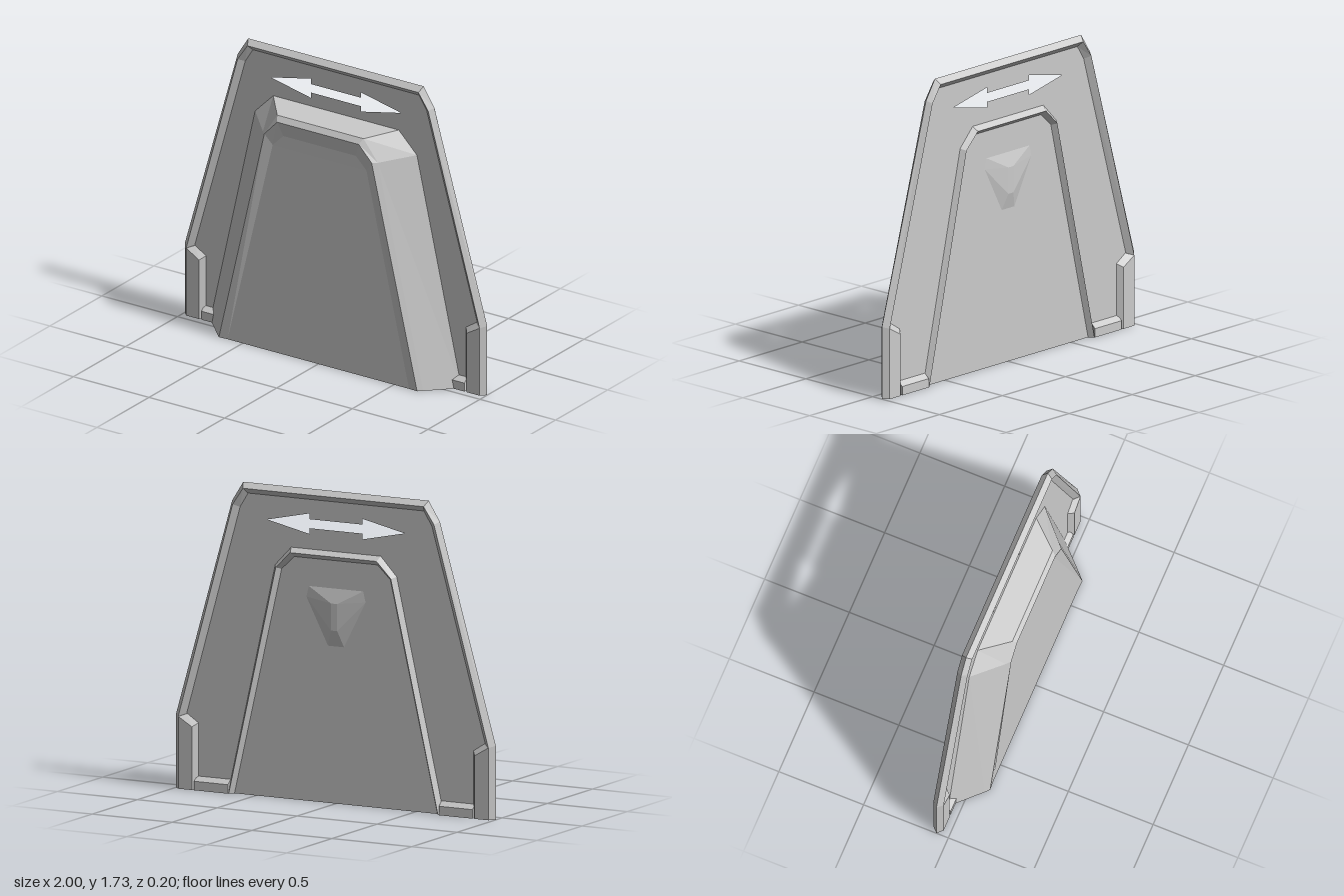
import * as THREE from 'three';
import { ConvexGeometry } from 'three/addons/geometries/ConvexGeometry.js';

const MID = -0.07, FRONT = -0.04, BACK = -0.1;
const material = new THREE.MeshStandardMaterial({ color: 0xcccccc, flatShading: true, side: THREE.DoubleSide });

// Mirrors half an outline (bottom right to top) into a full arch of 3D points.
function arch(half, z) {
  const right = half.map(([x, y, pz]) => new THREE.Vector3(x, y, pz ?? z));
  const left = right.map((p) => new THREE.Vector3(-p.x, p.y, p.z)).reverse();
  return [...right, ...left];
}

// Joins neighbouring arches with faces.
function loft(sections) {
  const points = [];
  for (let s = 0; s < sections.length - 1; s++) {
    const a = sections[s], b = sections[s + 1];
    for (let i = 0; i < a.length - 1; i++) {
      points.push(a[i], a[i + 1], b[i + 1], a[i], b[i + 1], b[i]);
    }
  }
  const geometry = new THREE.BufferGeometry().setFromPoints(points);
  geometry.computeVertexNormals();
  return geometry;
}

function convex(list) {
  return new ConvexGeometry(list.map((p) => new THREE.Vector3(...p)));
}

export function createModel() {
  const group = new THREE.Group();
  const add = (name, geometry) => {
    const mesh = new THREE.Mesh(geometry, material);
    mesh.name = name;
    group.add(mesh);
    return mesh;
  };

  // Diamond-section border around sides and top
  const outer = [[1, 0], [1, 0.41], [0.65, 1.62], [0.58, 1.73]];
  const crest = [[0.97, 0], [0.97, 0.4], [0.63, 1.605], [0.565, 1.7]];
  const inner = [[0.94, 0], [0.94, 0.395], [0.6, 1.59], [0.55, 1.67]];
  add('border', loft([arch(outer, MID), arch(crest, FRONT), arch(inner, MID), arch(crest, BACK), arch(outer, MID)]));

  // Thin back plate with a double-arrow cutout
  const plate = new THREE.Shape(arch(inner, 0).map((p) => new THREE.Vector2(p.x, p.y)));
  const arrow = [
    [0.43, 1.535], [0.165, 1.592], [0.165, 1.56], [-0.165, 1.56], [-0.165, 1.592],
    [-0.43, 1.535], [-0.165, 1.478], [-0.165, 1.51], [0.165, 1.51], [0.165, 1.478],
  ];
  plate.holes.push(new THREE.Path(arrow.map(([x, y]) => new THREE.Vector2(x, y))));
  add('plate', new THREE.ShapeGeometry(plate)).position.z = MID;

  // Hollow raised housing on the front, open below
  const lip = [[0.655, 0], [0.355, 1.28], [0.27, 1.37]];
  const dish = [[0.6, 0, 0.1], [0.31, 1.22, 0.088], [0.24, 1.29, 0.088]];
  const centre = [[0, 0, 0.1], [0, 1.22, 0.088], [0, 1.29, 0.088]];
  add('housing', loft([
    arch([[0.83, 0], [0.535, 1.31], [0.415, 1.43]], MID),
    arch([[0.68, 0], [0.38, 1.28], [0.285, 1.4]], 0.08),
    arch(lip, 0.103),
    arch(dish),
    arch(centre),
  ]));

  // Thin ridge on the back, following the housing face
  const ridgeOuter = [[0.675, 0], [0.38, 1.29], [0.28, 1.395]];
  const ridgeCrest = [[0.655, 0], [0.36, 1.28], [0.27, 1.37]];
  const ridgeInner = [[0.635, 0], [0.34, 1.27], [0.26, 1.345]];
  add('backRidge', loft([arch(ridgeOuter, MID), arch(ridgeCrest, BACK), arch(ridgeInner, MID)]));

  for (const [side, s] of [['left', 1], ['right', -1]]) {
    // Chamfered foot block, standing out both ways
    const block = [[1, 0], [0.86, 0], [0.86, 0.37], [0.93, 0.415], [1, 0.41]].map(([x, y]) => [s * x, y, MID]);
    for (const z of [FRONT, BACK]) {
      for (const [x, y] of [[0.97, 0], [0.885, 0], [0.885, 0.35], [0.97, 0.4]]) block.push([s * x, y, z]);
    }
    add(side + 'FootBlock', convex(block));

    // Low bar between the foot block and the ridge
    const bar = [];
    for (const x of [0.66, 0.87]) {
      for (const [y, z] of [[0, FRONT], [0.05, FRONT], [0.075, MID], [0.05, BACK], [0, BACK]]) bar.push([s * x, y, z]);
    }
    add(side + 'BottomBar', convex(bar));
  }

  // Shallow tapered pad on the back
  const pad = [];
  for (const s of [1, -1]) {
    pad.push([s * 0.17, 1.19, MID], [s * 0.185, 1.13, MID], [s * 0.05, 0.87, MID]);
    pad.push([s * 0.02, 1.11, MID - 0.022], [s * 0.02, 0.96, MID - 0.022]);
  }
  add('backPad', convex(pad));

  return group;
}
